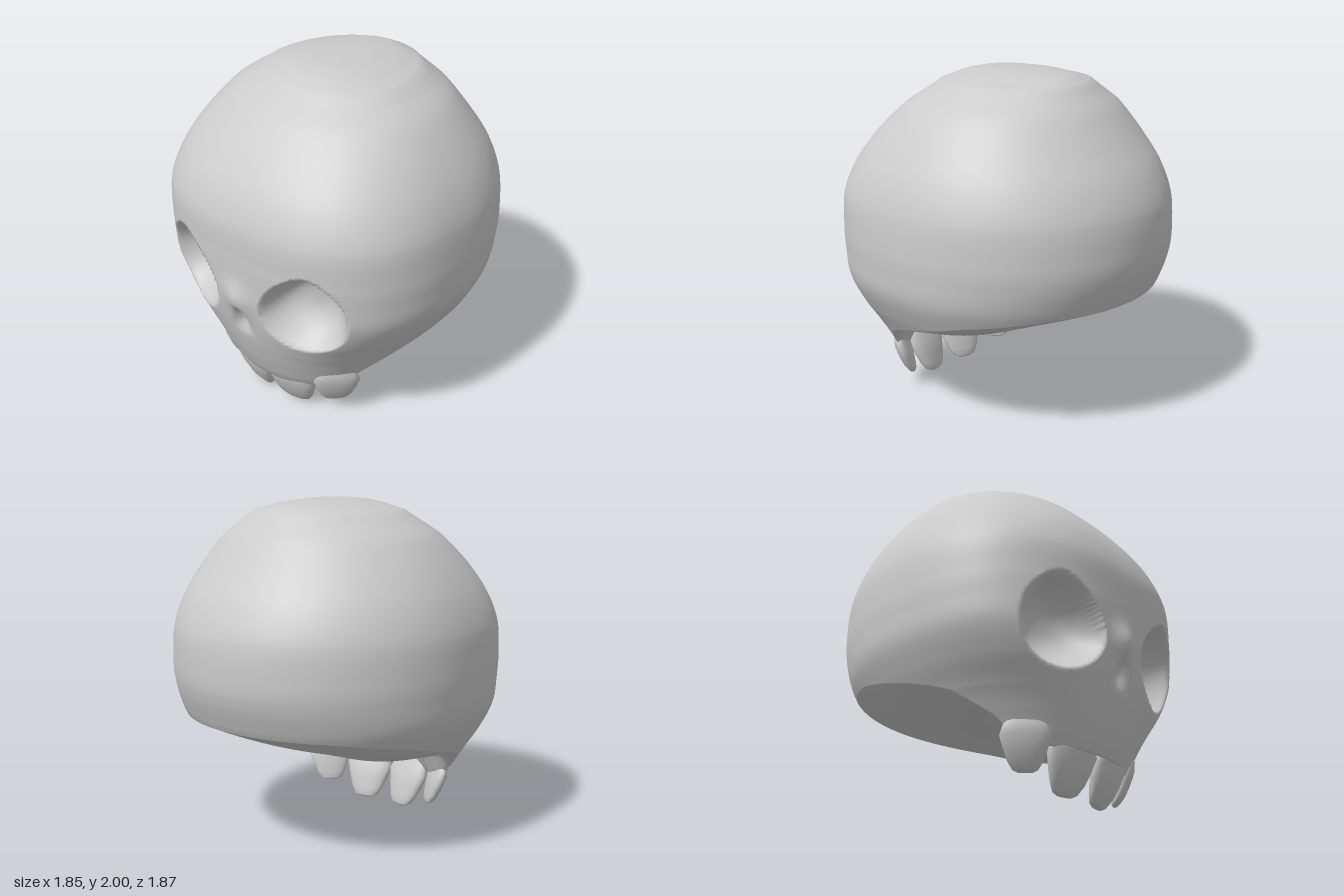
import * as THREE from 'three';
import { mergeVertices } from 'three/addons/utils/BufferGeometryUtils.js';

const { lerp, smoothstep } = THREE.MathUtils;
const material = new THREE.MeshStandardMaterial({ color: 0xcccccc });
const MID = 0.03; // z of the widest point of each section
const BACK = 2.05; // squareness of the back of each section

// Skull sections from crown to jaw: y, half width, front z, back z, front squareness
const SECTIONS = [
  [2.0, 0, 0.03, 0.03, 2.1], [1.99, 0.15, 0.2, -0.22, 2.1], [1.97, 0.27, 0.3, -0.39, 2.1],
  [1.93, 0.43, 0.39, -0.48, 2.1], [1.8, 0.62, 0.57, -0.61, 2.2], [1.64, 0.75, 0.72, -0.73, 2.4],
  [1.47, 0.85, 0.84, -0.85, 2.5], [1.29, 0.91, 0.905, -0.925, 2.6], [1.08, 0.925, 0.91, -0.94, 2.6],
  [0.95, 0.92, 0.905, -0.925, 2.6], [0.8, 0.9, 0.895, -0.87, 2.6], [0.65, 0.83, 0.87, -0.8, 2.5],
  [0.5, 0.74, 0.83, -0.8, 2.3], [0.38, 0.67, 0.79, -0.8, 2.2], [0.27, 0.61, 0.745, -0.8, 2.2],
  [0.18, 0.57, 0.7, -0.8, 2.2],
];
// Height of the lower edge, by depth z
const RIM = [[-0.95, 0.77], [-0.6, 0.75], [-0.3, 0.69], [0, 0.6], [0.15, 0.55], [0.27, 0.5], [0.45, 0.36], [0.53, 0.26], [0.6, 0.215], [0.9, 0.215]];
// Roof of the mouth, from the skull base centre (0) out to the jaw edge (1)
const PALATE = [[0, 0.46], [0.2, 0.47], [0.35, 0.5], [0.5, 0.525], [0.65, 0.52], [0.78, 0.46], [0.88, 0.35], [0.95, 0.25], [1, 0.215]];

function lookup(table, v) {
  let i = 0;
  while (i < table.length - 2 && v > table[i + 1][0]) i++;
  const [a, b] = [table[i], table[i + 1]];
  return lerp(a[1], b[1], THREE.MathUtils.clamp((v - a[0]) / (b[0] - a[0]), 0, 1));
}

function catmull(a, b, c, d, t) {
  const u = (c - a) / 2, v = (d - b) / 2;
  return (2 * b - 2 * c + u + v) * t ** 3 + (-3 * b + 3 * c - 2 * u - v) * t * t + u * t + b;
}

function sectionAt(y) {
  const S = SECTIONS, last = S.length - 1;
  let i = 0;
  while (i < last - 1 && y < S[i + 1][0]) i++;
  const t = (S[i][0] - y) / (S[i][0] - S[i + 1][0]);
  return [1, 2, 3, 4].map((k) =>
    catmull(S[Math.max(i - 1, 0)][k], S[i][k], S[i + 1][k], S[Math.min(i + 2, last)][k], t));
}

const radius = (a, n) => (Math.abs(Math.cos(a)) ** n + Math.abs(Math.sin(a)) ** n) ** (-1 / n);

// Skin a grid of rings running top to bottom; point(row, angle) gives [x, y, z]
function loft(rows, cols, angleOf, point) {
  const pos = [], index = [];
  for (let i = 0; i < rows; i++) {
    for (let j = 0; j < cols; j++) pos.push(...point(i, angleOf((j / cols) * Math.PI * 2)));
  }
  for (let i = 0; i < rows - 1; i++) {
    for (let j = 0; j < cols; j++) {
      const k = (j + 1) % cols, a = i * cols, b = a + cols;
      index.push(a + j, b + j, a + k, a + k, b + j, b + k);
    }
  }
  let g = new THREE.BufferGeometry();
  g.setAttribute('position', new THREE.Float32BufferAttribute(pos, 3));
  g.setIndex(index);
  g = mergeVertices(g, 1e-5);
  g.computeVertexNormals();
  return g;
}

// Eye sockets, nose opening and nose tip as depth offsets on the face
function faceRelief(x, y) {
  const ex = (Math.abs(x) - 0.4) / 0.255, ey = (y - 0.855) / 0.265;
  const slant = (ey - ex) / 1.414;
  const d = Math.hypot(ex, ey) + 0.95 * Math.max(0, slant) ** 5; // slanted inner brow
  const steepness = lerp(2.2, 3.6, smoothstep(slant, -0.3, 0.8)); // steep brow, gentle cheek
  let dz = d < 1 ? -0.24 * (1 - d ** steepness) : 0;
  const h = (0.79 - y) / 0.25; // 0 at the top of the nose, 1 at its base
  if (h > 0 && h < 1) {
    const half = 0.03 + 0.1 * h;
    dz -= 0.04 * (1 - smoothstep(Math.abs(x), 0, half)) * smoothstep(h, 0, 0.4) * (1 - smoothstep(h, 0.5, 1));
  }
  return dz + 0.035 * Math.exp(-((x / 0.09) ** 2) - ((y - 0.82) / 0.1) ** 2);
}

function outerPoint(a, y) {
  const [w, zf, zb, n] = sectionAt(y);
  const front = Math.cos(a) > 0;
  const r = radius(a, front ? n : BACK);
  const x = w * r * Math.sin(a);
  let z = MID + r * Math.cos(a) * (front ? zf - MID : MID - zb);
  if (front && z > 0.3) z += faceRelief(x, y);
  return [x, y, z];
}

function skullGeometry() {
  const upper = [];
  for (let i = 0; i < 10; i++) {
    const steps = i < 7 ? 5 : 13;
    for (let s = 0; s < steps; s++) upper.push(lerp(SECTIONS[i][0], SECTIONS[i + 1][0], s / steps));
  }
  const LOWER = 40, INNER = 26;
  const point = (i, a) => {
    if (i < upper.length) return outerPoint(a, upper[i]);
    const zr = MID + 0.74 * radius(a, 2.2) * Math.cos(a);
    const rim = lookup(RIM, zr);
    const t = (i - upper.length) / LOWER;
    if (t <= 1) return outerPoint(a, lerp(0.8, rim, t));
    // Underside: the skull base behind, the hollow of the mouth in front
    const k = 1 - (i - upper.length - LOWER) / INNER;
    const [x, , z] = outerPoint(a, rim);
    const base = 0.46 + (rim - 0.46) * k ** lerp(1.5, 2.8, smoothstep(zr, -0.75, -0.1));
    const mouth = lookup(PALATE, k) + (rim - 0.215) * smoothstep(k, 0.6, 1);
    return [x * k, lerp(base, mouth, smoothstep(zr, 0.15, 0.6)), lerp(0.1, z, k)];
  };
  // Columns are packed more closely on the face
  return loft(upper.length + LOWER + INNER + 1, 260, (u) => u - 0.4 * Math.sin(u), point);
}

// Tooth rows: y, half width, half depth, backward lean
const TOOTH = [
  [0.34, 0.1, 0.025, 0], [0.27, 0.135, 0.045, 0.01], [0.21, 0.155, 0.06, 0.03], [0.13, 0.132, 0.055, 0.055],
  [0.06, 0.106, 0.045, 0.08], [0.015, 0.078, 0.03, 0.1], [0, 0.05, 0.018, 0.105], [0, 0, 0, 0.105],
];
const toothGeometry = loft(TOOTH.length, 20, (u) => u, (i, a) => {
  const [y, w, d, lean] = TOOTH[i];
  const r = radius(a, 2.5);
  return [w * r * Math.sin(a), y, d * r * Math.cos(a) - lean];
});

export function createModel() {
  const model = new THREE.Group();
  model.name = 'skull';

  const add = (geometry, name) => {
    const mesh = new THREE.Mesh(geometry, material);
    mesh.name = name;
    model.add(mesh);
    return mesh;
  };
  add(skullGeometry(), 'cranium');

  for (const side of [1, -1]) {
    const label = side > 0 ? 'left' : 'right';
    const front = add(toothGeometry, label + 'FrontTooth');
    front.position.set(0.16 * side, 0, 0.665);
    front.rotation.y = 0.22 * side;

    const back = add(toothGeometry, label + 'SideTooth');
    back.position.set(0.44 * side, 0.085, 0.565);
    back.rotation.y = 0.8 * side;
    back.scale.set(0.88, 0.85, 0.8);
  }
  return model;
}
